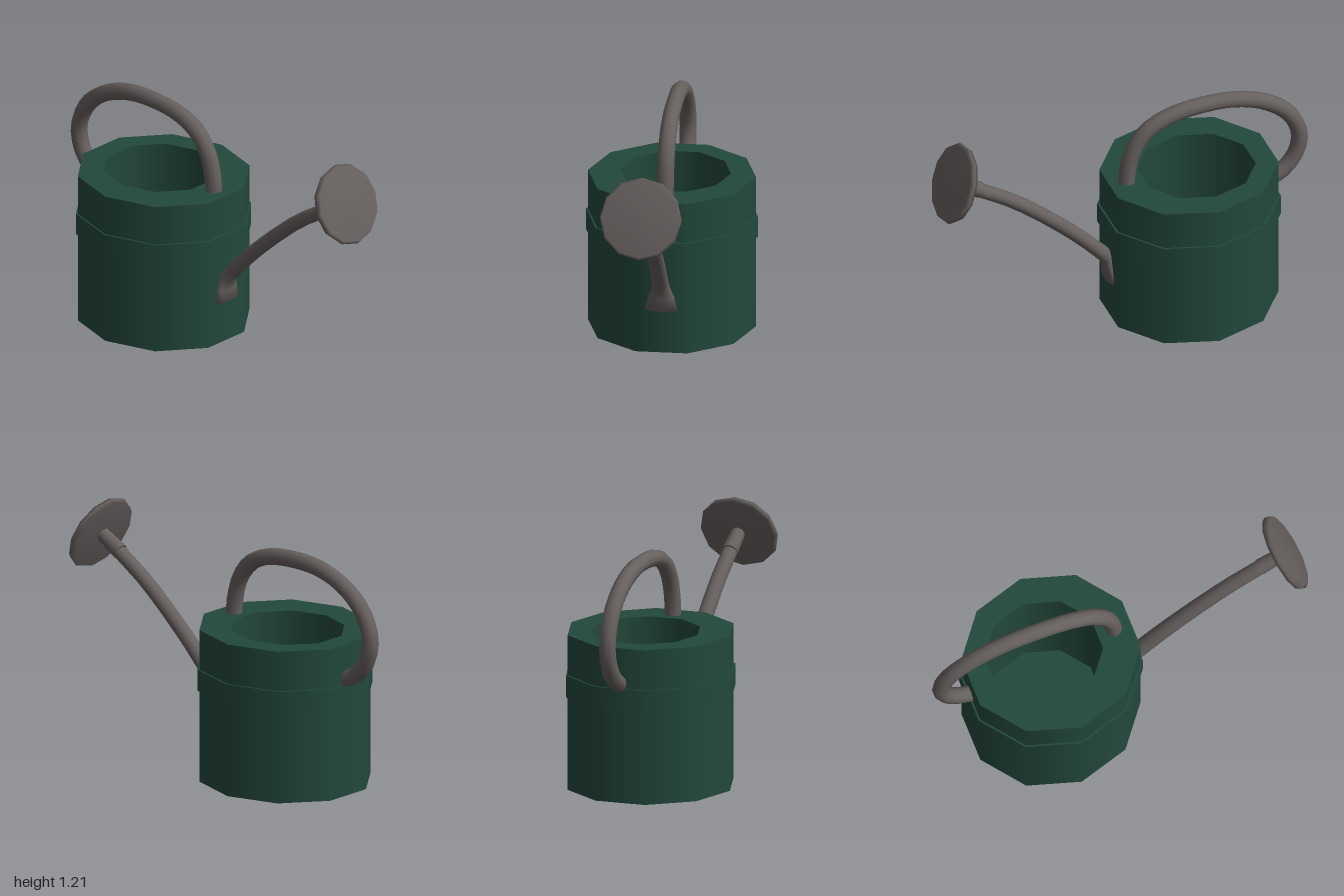
import * as THREE from 'three';

const green = new THREE.MeshStandardMaterial({ color: 0x23493c, side: THREE.DoubleSide });
const grey = new THREE.MeshStandardMaterial({ color: 0x66605e, side: THREE.DoubleSide });

const SIDES = 10, CX = -0.362;
const BODY = { rx: 0.455, rz: 0.426 };
const BAND = { rx: 0.466, rz: 0.435 };
const HOLE = { rx: 0.302, rz: 0.28, x: -0.034, z: -0.015 };

function add(parent, name, geometry, material) {
  const mesh = new THREE.Mesh(geometry, material);
  mesh.name = name;
  parent.add(mesh);
  return mesh;
}

// Corners of a slightly oval decagon, in the shape plane
function decagon({ rx, rz, x = 0, z = 0 }) {
  return Array.from({ length: SIDES }, (_, i) => {
    const a = (i / SIDES) * Math.PI * 2;
    return new THREE.Vector2(x + rx * Math.sin(a), -z + rz * Math.cos(a));
  });
}

// Horizontal decagon face, optionally with a hole
function face(outer, y, inner = null, down = false) {
  const shape = new THREE.Shape(decagon(outer));
  if (inner) shape.holes.push(new THREE.Path(decagon(inner)));
  return new THREE.ShapeGeometry(shape).rotateX(down ? Math.PI / 2 : -Math.PI / 2).translate(0, y, 0);
}

// Upright decagonal wall
function wall({ rx, rz, x = 0, z = 0 }, y0, y1) {
  return new THREE.CylinderGeometry(1, 1, y1 - y0, SIDES, 1, true)
    .scale(rx, 1, rz).translate(x, (y0 + y1) / 2, z);
}

// Skin over oval rings; each ring is { x, y, angle, thick, wide }
function loft(rings, n) {
  const pos = [], idx = [];
  rings.forEach(({ x, y, angle, thick, wide }, r) => {
    for (let i = 0; i < n; i++) {
      const a = (i / n) * Math.PI * 2, t = thick * Math.cos(a);
      pos.push(x - Math.sin(angle) * t, y + Math.cos(angle) * t, wide * Math.sin(a));
      if (r === 0) continue;
      const j = (i + 1) % n, p = (r - 1) * n, q = r * n;
      idx.push(p + i, q + i, p + j, p + j, q + i, q + j);
    }
  });
  for (let i = 1; i < n - 1; i++) idx.push(0, i, i + 1);
  const g = new THREE.BufferGeometry();
  g.setAttribute('position', new THREE.Float32BufferAttribute(pos, 3));
  g.setIndex(idx);
  g.computeVertexNormals();
  return g;
}

export function createModel() {
  const model = new THREE.Group();
  model.name = 'wateringCan';

  // Hollow body with a thick rim
  const body = new THREE.Group();
  body.name = 'body';
  body.position.x = CX;
  model.add(body);
  add(body, 'outerWall', wall(BODY, 0, 0.8), green);
  add(body, 'base', face(BODY, 0, null, true), green);
  add(body, 'rim', face(BODY, 0.8, HOLE), green);
  add(body, 'innerWall', wall(HOLE, 0.08, 0.8), green);
  add(body, 'innerFloor', face(HOLE, 0.08), green);

  // Raised band around the body
  const band = new THREE.Group();
  band.name = 'band';
  body.add(band);
  add(band, 'bandWall', wall(BAND, 0.48, 0.592), green);
  add(band, 'bandTop', face(BAND, 0.592, BODY), green);
  add(band, 'bandUnderside', face(BAND, 0.48, BODY, true), green);

  // Looping carry handle from the rim to the back of the body
  const handlePath = new THREE.CatmullRomCurve3([
    [-0.022, 0.77], [-0.025, 0.85], [-0.06, 0.985], [-0.135, 1.085], [-0.26, 1.145],
    [-0.46, 1.167], [-0.62, 1.153], [-0.78, 1.093], [-0.9, 0.99], [-0.955, 0.85],
    [-0.93, 0.735], [-0.87, 0.66], [-0.77, 0.605],
  ].map(([x, y]) => new THREE.Vector3(x, y, -0.008)));
  add(model, 'handle', new THREE.TubeGeometry(handlePath, 32, 0.043, 10), grey);

  // Spout with a flared foot against the body
  const spoutPath = new THREE.CatmullRomCurve3([
    [0.085, 0.36], [0.2, 0.485], [0.33, 0.613], [0.58, 0.825], [0.78, 0.953],
  ].map(([x, y]) => new THREE.Vector3(x, y, 0)));
  const rings = [
    { x: 0.078, y: 0.232, angle: 1.2, thick: 0.019, wide: 0.08 },
    { x: 0.078, y: 0.3, angle: 1.3, thick: 0.026, wide: 0.067 },
  ];
  for (let i = 0; i <= 10; i++) {
    const p = spoutPath.getPoint(i / 10), d = spoutPath.getTangent(i / 10);
    const r = 0.043 - 0.004 * (i / 10);
    rings.push({ x: p.x, y: p.y, angle: Math.atan2(d.y, d.x), thick: r * 0.92, wide: r });
  }
  add(model, 'spout', loft(rings, 12), grey);

  // Sprinkler head: neck and a twelve-sided disc facing along its axis
  const head = new THREE.Group();
  head.name = 'sprinklerHead';
  head.position.set(0.902, 1.021, 0);
  head.rotation.z = Math.atan2(0.388, 0.922) - Math.PI / 2;
  model.add(head);
  const profile = [[0, -0.022], [0.196, -0.022], [0.208, 0], [0.196, 0.02], [0, 0.026]]
    .map(([r, y]) => new THREE.Vector2(r, y));
  add(head, 'disc', new THREE.LatheGeometry(profile, 12, Math.PI / 2), grey);
  const neck = add(model, 'neck', new THREE.CylinderGeometry(0.036, 0.042, 0.145, 12), grey);
  neck.position.set(0.828, 0.982, 0);
  neck.rotation.z = Math.atan2(0.07, 0.126) - Math.PI / 2;

  return model;
}
